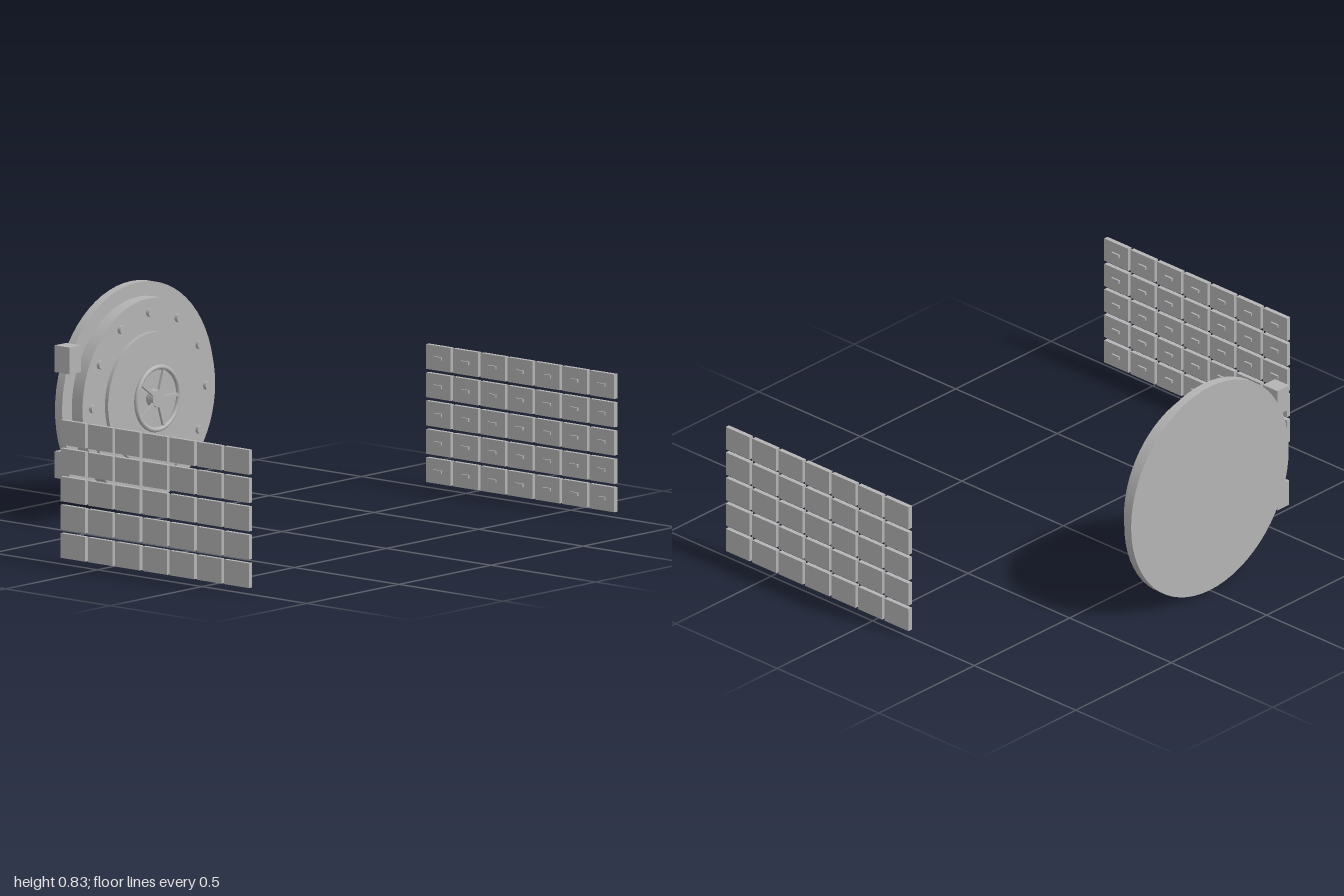
import * as THREE from 'three';

export function createModel() {
  const root = new THREE.Group();
  root.name = 'vaultRoomFittings';
  const steel = new THREE.MeshStandardMaterial({ color: 0xb4b4b4 });
  steel.name = 'brushed steel grey';

  const add = (parent, name, geometry, x = 0, y = 0, z = 0) => {
    const mesh = new THREE.Mesh(geometry, steel);
    mesh.name = name;
    mesh.position.set(x, y, z);
    parent.add(mesh);
    return mesh;
  };
  // Round plate facing +z, between two depths
  const disc = (parent, name, radius, z0, z1, sides = 64, x = 0, y = 0) =>
    add(parent, name, new THREE.CylinderGeometry(radius, radius, z1 - z0, sides).rotateX(Math.PI / 2),
      x, y, (z0 + z1) / 2);

  // Round door, stepped towards the front
  const door = new THREE.Group();
  door.name = 'vaultDoor';
  door.position.set(0, 0.418, 0);
  root.add(door);
  disc(door, 'doorRim', 0.413, -0.721, -0.687);
  disc(door, 'doorBody', 0.36, -0.687, -0.636);
  disc(door, 'centrePlate', 0.238, -0.636, -0.621);

  // Ring of bolts
  for (let i = 0; i < 12; i++) {
    const a = (i / 12) * Math.PI * 2;
    disc(door, 'bolt', 0.0155, -0.636, -0.623, 16, Math.cos(a) * 0.309, Math.sin(a) * 0.309);
  }

  // Hand wheel with five spokes
  const wheel = new THREE.Group();
  wheel.name = 'handWheel';
  door.add(wheel);
  disc(wheel, 'wheelHub', 0.032, -0.621, -0.588, 24);
  add(wheel, 'wheelRing', new THREE.TorusGeometry(0.114, 0.009, 12, 48), 0, 0, -0.594);
  for (let i = 0; i < 5; i++) {
    const a = (i / 5) * Math.PI * 2;
    const spoke = add(wheel, 'wheelSpoke', new THREE.BoxGeometry(0.092, 0.012, 0.01),
      Math.cos(a) * 0.068, Math.sin(a) * 0.068, -0.594);
    spoke.rotation.z = a;
  }

  // Hinge blocks
  for (const side of [-1, 1]) {
    add(door, 'hinge', new THREE.BoxGeometry(0.062, 0.098, 0.07), -0.407, side * 0.193, -0.665);
  }

  // Walls of deposit boxes, handles facing inwards
  const boxGeometry = new THREE.BoxGeometry(0.017, 0.09, 0.118);
  const handleGeometry = new THREE.BoxGeometry(0.007, 0.012, 0.036);
  for (const side of [-1, 1]) {
    const wall = new THREE.Group();
    wall.name = side > 0 ? 'leftBoxWall' : 'rightBoxWall';
    root.add(wall);
    for (let row = 0; row < 5; row++) {
      for (let col = 0; col < 7; col++) {
        const y = 0.072 + row * 0.1033;
        const z = -0.118 + col * 0.1303;
        add(wall, 'depositBox', boxGeometry, side * 0.9915, y, z);
        add(wall, 'boxHandle', handleGeometry, side * 0.9795, y, z);
      }
    }
  }
  return root;
}
